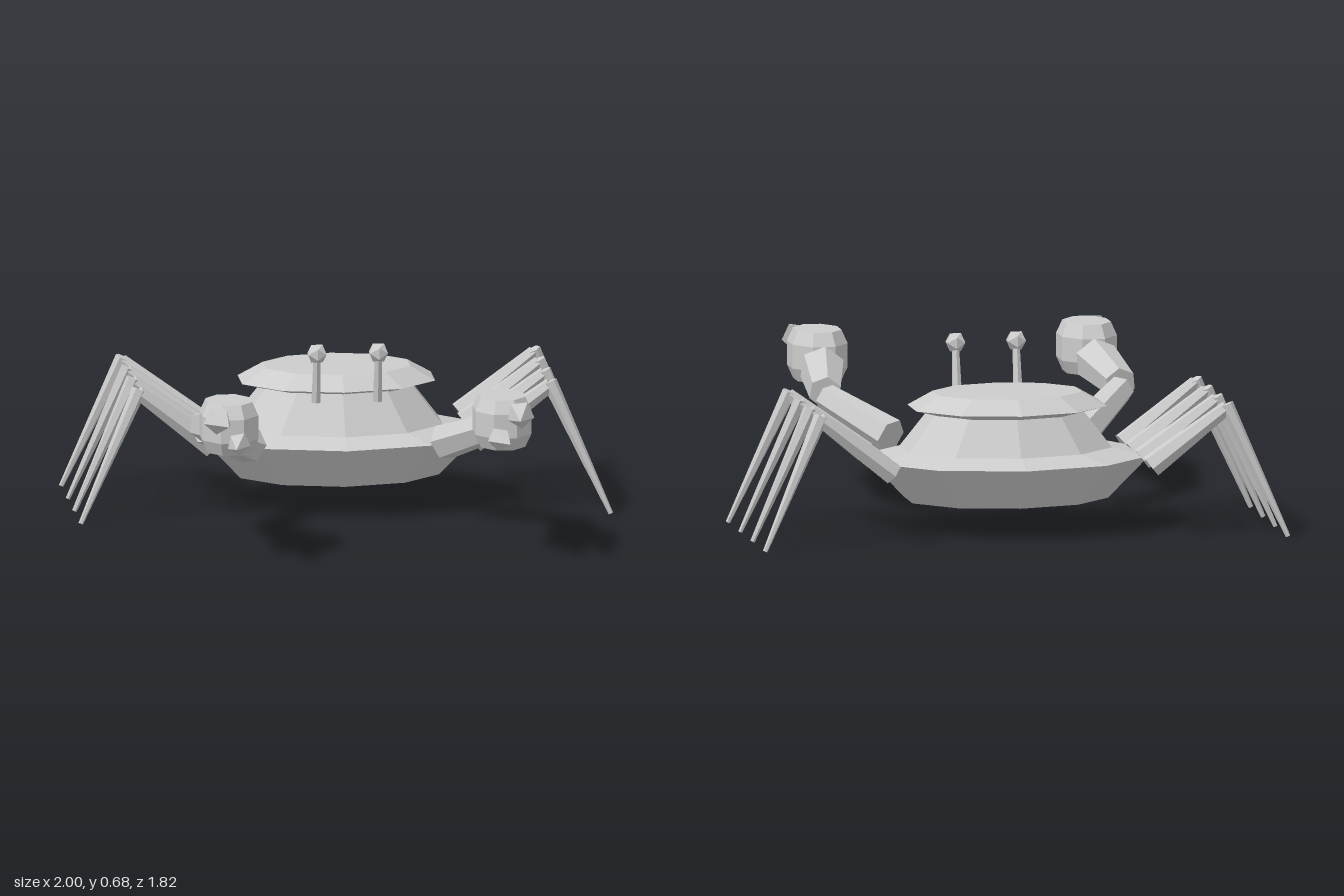
import * as THREE from 'three';

const shellGrey = new THREE.MeshStandardMaterial({ color: 0xcccccc, flatShading: true });
shellGrey.name = 'shell grey';

function mesh(name, geometry, parent) {
  const m = new THREE.Mesh(geometry.index ? geometry.toNonIndexed() : geometry, shellGrey);
  m.geometry.computeVertexNormals();
  m.name = name;
  parent.add(m);
  return m;
}

// Tapered segment running from point a to point b
function limb(name, a, b, ra, rb, sides, parent) {
  const from = new THREE.Vector3(...a), to = new THREE.Vector3(...b);
  const dir = to.clone().sub(from);
  const m = mesh(name, new THREE.CylinderGeometry(rb, ra, dir.length(), sides), parent);
  m.position.copy(from).add(to).multiplyScalar(0.5);
  m.quaternion.setFromUnitVectors(new THREE.Vector3(0, 1, 0), dir.normalize());
  return m;
}

// Closed faceted solid from rings [radius, height], stretched along z
function faceted(name, rings, sides, depth, parent, start = 0) {
  const y0 = rings[0][1], y1 = rings[rings.length - 1][1];
  const pts = [[0, y0], ...rings, [0, y1]].map(([r, y]) => new THREE.Vector2(r, y));
  const geo = new THREE.LatheGeometry(pts, sides, start);
  geo.scale(1, 1, depth);
  return mesh(name, geo, parent);
}

export function createModel() {
  const crab = new THREE.Group();
  crab.name = 'crab';

  // Body and the cap on its back
  const body = faceted('body', [[0.39, 0.12], [0.545, 0.278], [0.405, 0.31], [0.285, 0.46]], 10, 0.757, crab);
  body.position.z = -0.4975;
  const cap = faceted('backShell', [[0.29, 0.447], [0.38, 0.47], [0.284, 0.523]], 10, 0.757, crab);
  cap.position.z = -0.527;

  // z of root, knee and foot for each leg, back to front
  const legs = [[-0.818, -0.85, -0.908], [-0.64, -0.652, -0.66], [-0.46, -0.444, -0.42], [-0.272, -0.23, -0.178]];

  for (const s of [1, -1]) {
    const side = new THREE.Group();
    side.name = s > 0 ? 'leftLimbs' : 'rightLimbs';
    crab.add(side);

    // Walking legs
    for (const [root, knee, foot] of legs) {
      limb('upperLeg', [s * 0.49, 0.27, root], [s * 0.772, 0.488, knee], 0.045, 0.027, 6, side);
      limb('lowerLeg', [s * 0.768, 0.5, knee], [s * 0.992, 0.005, foot], 0.028, 0.009, 6, side);
    }

    // Eye stalk and eye
    limb('eyeStalk', [s * 0.115, 0.458, -0.14], [s * 0.115, 0.63, -0.11], 0.019, 0.014, 6, side);
    const eye = mesh('eye', new THREE.IcosahedronGeometry(0.04, 0), side);
    eye.position.set(s * 0.115, 0.647, -0.107);

    // Claw arm
    limb('upperArm', [s * 0.363, 0.3, -0.12], [s * 0.56, 0.415, 0.135], 0.07, 0.053, 6, side);
    limb('forearm', [s * 0.56, 0.432, 0.145], [s * 0.52, 0.482, 0.415], 0.062, 0.086, 6, side);

    // Palm: eight-sided block with bevelled top and bottom
    const palm = faceted('palm', [[0.09, -0.095], [0.113, -0.045], [0.113, 0.045], [0.09, 0.095]], 8, 1.32, side, Math.PI / 8);
    palm.position.set(s * 0.511, 0.515, 0.555);

    // Pincer fingers
    limb('longFinger', [s * 0.567, 0.56, 0.69], [s * 0.545, 0.575, 0.903], 0.053, 0, 5, side);
    limb('shortFinger', [s * 0.488, 0.47, 0.69], [s * 0.513, 0.48, 0.86], 0.045, 0, 5, side);
  }
  return crab;
}
